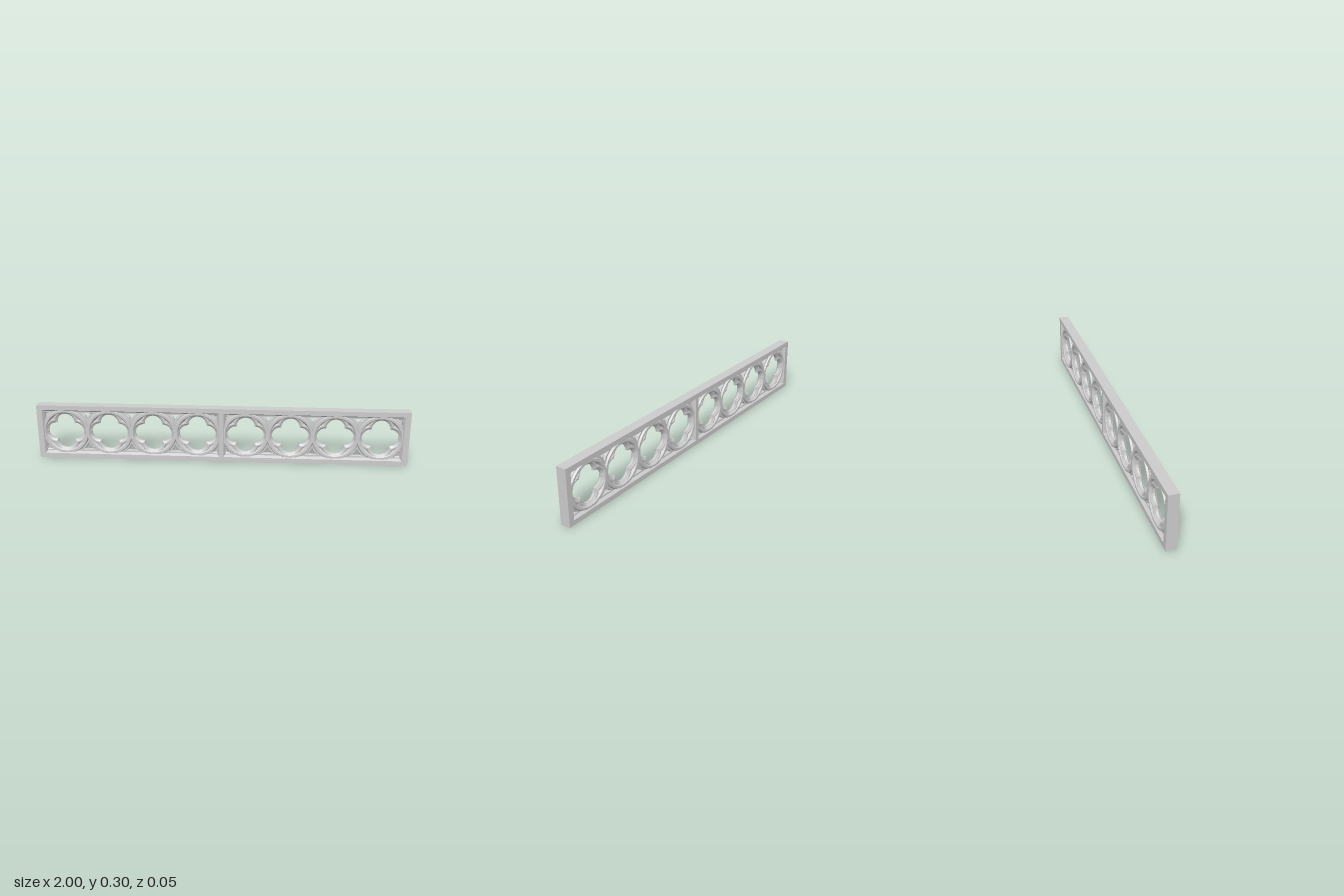
import * as THREE from 'three';
import { toCreasedNormals } from 'three/addons/utils/BufferGeometryUtils.js';

const MID = 0.151;                       // height of the centre line
const CENTRES = [0.13, 0.37, 0.61, 0.85]; // quatrefoil centres of one half
const SEG = 72;
const material = new THREE.MeshStandardMaterial({ color: 0xcccccc });

// Closed moulding: half profile [offset, z] from outside to inside, mirrored to the back,
// carried round the loop given by path(offset) (counter-clockwise).
function moulding(path, half) {
  const profile = [...half, ...half.map(([o, z]) => [o, -z]).reverse()];
  const rows = profile.map(([o]) => path(o));
  const n = rows[0].length, m = profile.length, pos = [], index = [];
  for (let j = 0; j < m; j++)
    for (const [x, y] of rows[j]) pos.push(x, y, profile[j][1]);
  for (let j = 0; j < m; j++) for (let i = 0; i < n; i++) {
    const i2 = (i + 1) % n, j2 = (j + 1) % m;
    const a = j * n + i, b = j * n + i2, c = j2 * n + i2, d = j2 * n + i;
    index.push(a, b, c, a, c, d);
  }
  const g = new THREE.BufferGeometry();
  g.setAttribute('position', new THREE.Float32BufferAttribute(pos, 3));
  g.setIndex(index);
  return toCreasedNormals(g, 0.5);
}

const polar = (radius) => Array.from({ length: SEG }, (_, i) => {
  const t = (i / SEG) * Math.PI * 2, r = radius(t);
  return [r * Math.cos(t), r * Math.sin(t)];
});

const circle = (r) => polar(() => r);

// Outline of four overlapping lobes, grown by an offset
const quatrefoil = (o) => polar((t) => {
  const q = Math.PI / 2, phi = t - Math.round(t / q) * q, d = 0.05, r = 0.048 + o;
  return d * Math.cos(phi) + Math.sqrt(r * r - (d * Math.sin(phi)) ** 2);
});

const rect = (w, h) => [[-w, -h], [w, -h], [w, h], [-w, h]];
const vectors = (pts, x = 0, y = 0) => pts.map((p) => new THREE.Vector2(p[0] + x, p[1] + y));

function extrude(shape, depth, bevel = 0) {
  const g = new THREE.ExtrudeGeometry(shape, {
    depth: depth - 2 * bevel, bevelEnabled: bevel > 0,
    bevelThickness: bevel, bevelSize: bevel, bevelSegments: 1,
  });
  return g.translate(0, 0, -depth / 2 + bevel);
}

export function createModel() {
  const model = new THREE.Group();
  model.name = 'traceryPanel';
  const add = (name, geometry, x = 0, y = MID) => {
    const mesh = new THREE.Mesh(geometry, material);
    mesh.name = name;
    mesh.position.set(x, y, 0);
    model.add(mesh);
  };

  // Outer frame with central mullion
  const W = 0.4795, H = 0.125, PX = 0.4905; // half size and centre of each opening
  const frame = new THREE.Shape(vectors(rect(1, MID)));
  for (const s of [-1, 1]) frame.holes.push(new THREE.Path(vectors(rect(W, H), s * PX)));
  add('frame', extrude(frame, 0.055));

  // Sloped inner edge of each opening
  const edge = moulding((o) => rect(W + o, H + o), [[0, 0.0275], [-0.01, 0.012]]);

  // Web behind the rings, pierced by circles and bevelled spandrels
  const web = new THREE.Shape(vectors(rect(W, H)));
  const spandrels = [];
  CENTRES.forEach((c, i) => {
    web.holes.push(new THREE.Path(vectors(circle(0.115), c - PX)));
    if (i < 3) spandrels.push([c + 0.12 - PX, [[0, 0.066], [0.012, 0.088], [0.034, 0.107],
      [-0.034, 0.107], [-0.012, 0.088]]]);
  });
  for (const s of [-1, 1])
    spandrels.push([s * (W - 0.009), [[0, 0.068], [0, 0.109], [-s * 0.036, 0.109], [-s * 0.014, 0.09]]]);
  for (const [x, pts] of spandrels) for (const v of [-1, 1])
    web.holes.push(new THREE.Path(vectors(pts.map(([a, b]) => [a, b * v]), x)));
  const webGeometry = extrude(web, 0.024, 0.005);
  const cornerBack = new THREE.BoxGeometry(0.06, 0.06, 0.006);

  for (const s of [-1, 1]) {
    add('innerEdge', edge, s * PX);
    add('web', webGeometry, s * PX);
    // Blind backing of the corner spandrels
    for (const e of [-1, 1]) for (const v of [-1, 1])
      add('cornerBacking', cornerBack, s * PX + e * (W - 0.03), MID + v * (H - 0.03));
  }

  // Round rings and cusped quatrefoils
  const ring = moulding(circle,
    [[0.129, 0.01], [0.123, 0.021], [0.111, 0.021], [0.1, 0.0075]]);
  const foil = moulding(quatrefoil,
    [[0.03, 0.007], [0.024, 0.007], [0.018, 0.015], [0.011, 0.015], [0.004, 0.008], [0, 0.006]]);
  for (const s of [-1, 1]) for (const c of CENTRES) {
    add('ring', ring, s * c);
    add('quatrefoil', foil, s * c);
  }
  return model;
}
